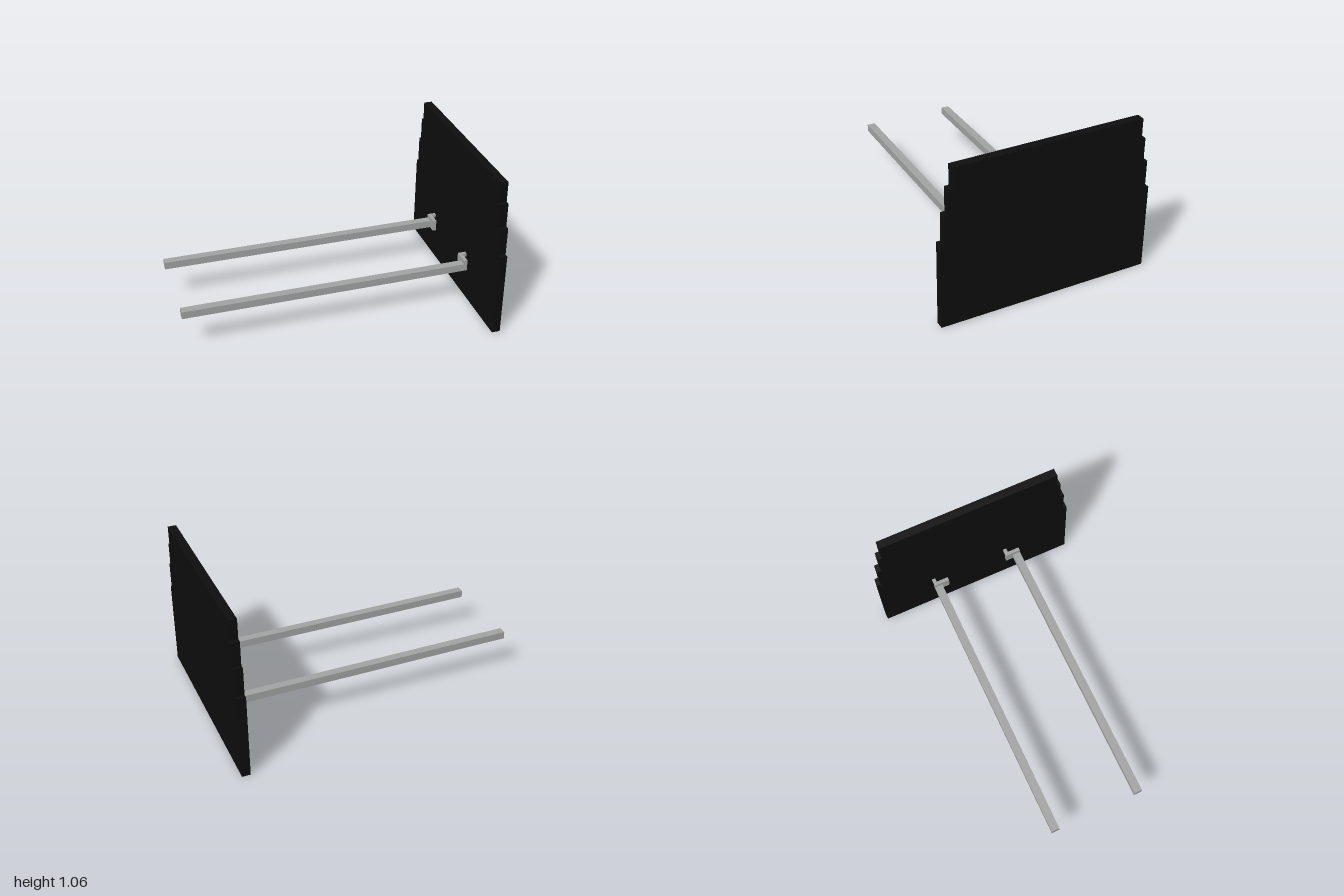
import * as THREE from 'three';

export function createModel() {
  const model = new THREE.Group();
  const black = new THREE.MeshStandardMaterial({ color: 0x0d0d0d });
  black.name = 'black panel';
  const grey = new THREE.MeshStandardMaterial({ color: 0xa0a1a1 });
  grey.name = 'grey metal';

  // box given by its limits on each axis
  const box = (parent, name, x, y, z) => {
    const mesh = new THREE.Mesh(
      new THREE.BoxGeometry(x[1] - x[0], y[1] - y[0], z[1] - z[0]), grey);
    mesh.position.set((x[0] + x[1]) / 2, (y[0] + y[1]) / 2, (z[0] + z[1]) / 2);
    mesh.name = name;
    parent.add(mesh);
  };

  // upright panel with stepped sides: [half width, top of step]
  const steps = [[0.702, 0.57], [0.676, 0.758], [0.648, 0.92], [0.621, 1.056]];
  const side = [];
  let bottom = 0;
  for (const [half, top] of steps) {
    side.push([half, bottom], [half, top]);
    bottom = top;
  }
  const outline = [...side, ...side.map(([w, y]) => [-w, y]).reverse()];
  const shape = new THREE.Shape(outline.map(([w, y]) => new THREE.Vector2(w, y)));
  const panelGeometry = new THREE.ExtrudeGeometry(shape, { depth: 0.055, bevelEnabled: false });
  panelGeometry.rotateY(Math.PI / 2);
  const panel = new THREE.Mesh(panelGeometry, black);
  panel.position.x = 0.945;
  panel.name = 'steppedPanel';
  model.add(panel);

  // two support arms, each with an end plate and a tab reaching the panel
  const arms = [
    { name: 'frontArm', bar: 0.267, bracket: 0.215 },
    { name: 'backArm', bar: -0.328, bracket: -0.328 },
  ];
  for (const { name, bar, bracket } of arms) {
    const arm = new THREE.Group();
    arm.name = name;
    box(arm, 'bar', [-1, 0.892], [0.25, 0.3], [bar, bar + 0.054]);
    box(arm, 'endPlate', [0.892, 0.916], [0.25, 0.327], [bracket, bracket + 0.106]);
    box(arm, 'tab', [0.916, 0.945], [0.303, 0.327], [bracket, bracket + 0.024]);
    model.add(arm);
  }
  return model;
}
